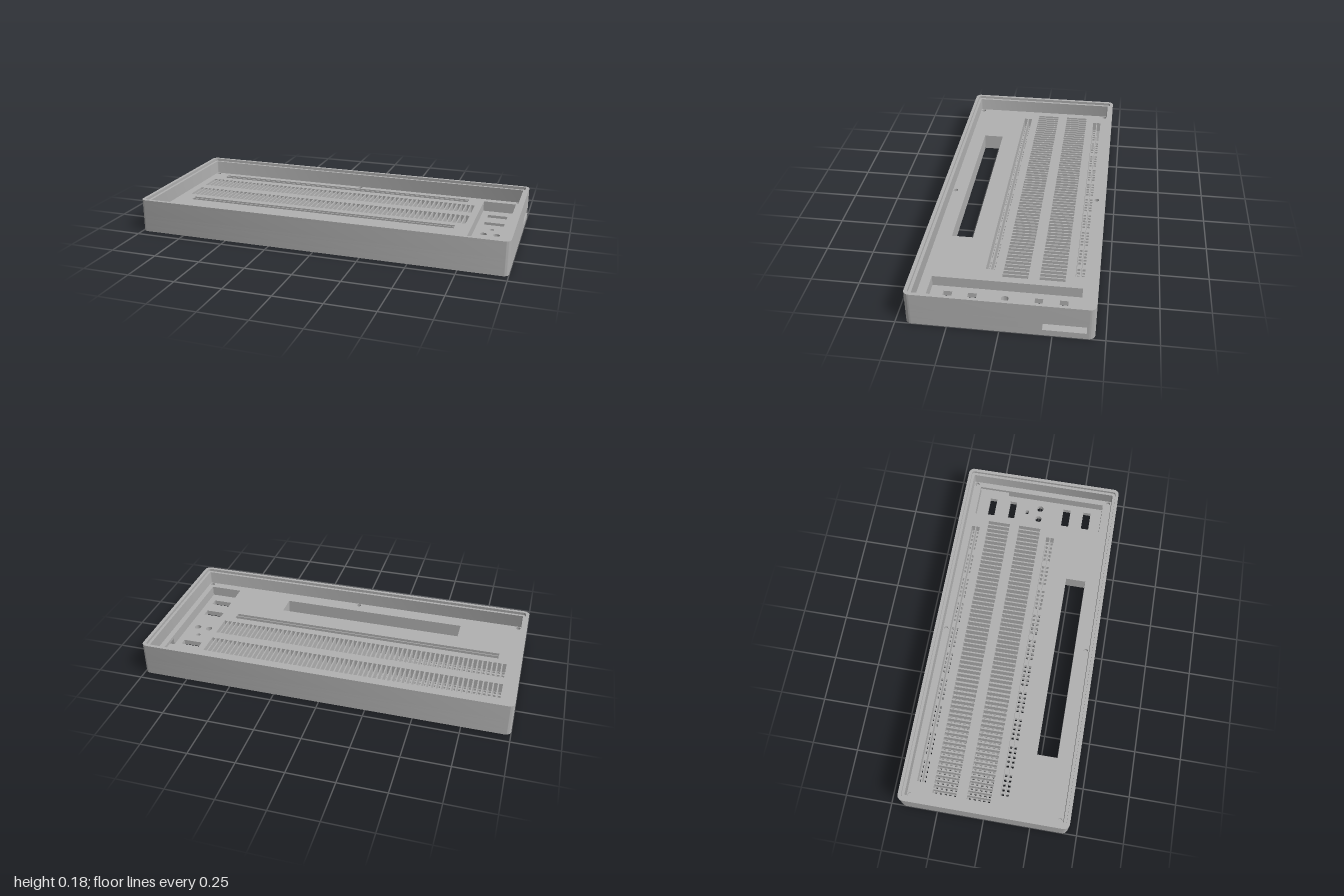
import * as THREE from 'three';
import { toCreasedNormals } from 'three/addons/utils/BufferGeometryUtils.js';

const PITCH = 0.0261;
const FLOOR = 0.033, SLOT_TOP = 0.072, DECK = 0.09, LEDGE = 0.165, TOP = 0.18;

// All outlines use (x, z); shapes are drawn with z flipped so they can be tipped upright.
function rect(x0, x1, z0, z1, C = THREE.Path) {
  const p = new C();
  p.moveTo(x0, -z1).lineTo(x1, -z1).lineTo(x1, -z0).lineTo(x0, -z0).closePath();
  return p;
}

function circle(x, z, r) {
  return new THREE.Path().absarc(x, -z, r, 0, Math.PI * 2, true);
}

// Rounded outline; notch is an optional list of [x, z] points let into the +x side.
function rounded(w, d, r, C = THREE.Shape, notch = []) {
  const p = new C();
  p.absarc(w - r, -(d - r), r, -Math.PI / 2, 0, false);
  [...notch].reverse().forEach(([x, z]) => p.lineTo(x, -z));
  p.absarc(w - r, d - r, r, 0, Math.PI / 2, false);
  p.absarc(-w + r, d - r, r, Math.PI / 2, Math.PI, false);
  p.absarc(-w + r, -(d - r), r, Math.PI, Math.PI * 1.5, false);
  p.closePath();
  return p;
}

export function createModel() {
  const group = new THREE.Group();
  const grey = new THREE.MeshStandardMaterial({ color: 0xb0b0b0 });
  grey.name = 'grey plastic';

  function layer(name, shape, holes, y0, y1) {
    shape.holes.push(...holes);
    let geo = new THREE.ExtrudeGeometry(shape, { depth: y1 - y0, bevelEnabled: false, curveSegments: 8 });
    geo.rotateX(-Math.PI / 2).translate(0, y0, 0);
    geo = toCreasedNormals(geo, 0.6);
    const mesh = new THREE.Mesh(geo, grey);
    mesh.name = name;
    group.add(mesh);
  }

  const outer = (notch) => rounded(1, 0.45, 0.03, THREE.Shape, notch);

  // Pin holes and the contact grooves above them
  const pins = () => {
    const list = [];
    const h = 0.007;
    const pin = (x, z) => list.push(rect(x - h, x + h, z - h, z + h));
    for (const zc of [-0.222, -0.038])
      for (let c = 0; c < 63; c++)
        for (let r = -2; r <= 2; r++) pin(-0.103 + (c - 31) * PITCH, zc + r * PITCH);
    for (const zc of [-0.355, 0.092])
      for (let c = 0; c < 59; c++)
        if (c % 6 !== 5)
          for (const s of [-0.5, 0.5]) pin(-0.103 + (c - 29) * PITCH, zc + s * PITCH);
    return list;
  };
  const grooves = () => {
    const list = [];
    for (const zc of [-0.222, -0.038])
      for (let c = 0; c < 63; c++) {
        const x = -0.103 + (c - 31) * PITCH;
        list.push(rect(x - 0.0095, x + 0.0095, zc - 0.064, zc + 0.064));
      }
    for (const zc of [-0.355, 0.092])
      for (const s of [-0.5, 0.5]) {
        const z = zc + s * PITCH;
        list.push(rect(-0.873, 0.667, z - 0.0105, z + 0.0105));
      }
    return list;
  };
  const display = () => rect(-0.625, 0.422, 0.225, 0.337);

  // Connector and button openings in the side pocket
  const ports = () => [
    ...[[-0.31, -0.268], [-0.186, -0.146], [0.14, 0.184], [0.262, 0.306]]
      .map(([a, b]) => rect(0.79, 0.9, a, b)),
    circle(0.845, -0.075, 0.012), circle(0.81, 0, 0.019), circle(0.88, 0, 0.019),
  ];

  // Side pocket, and the same pocket opened through the +x side by a slot
  const px0 = 0.754, px1 = 0.936, pz0 = -0.375, pz1 = 0.37;
  const pocket = () => rect(px0, px1, pz0, pz1);
  const slot = [[1, -0.41], [px1, -0.41], [px1, pz0], [px0, pz0], [px0, pz1], [px1, pz1], [px1, -0.203], [1, -0.203]];

  const screws = [];
  for (const x of [-0.95, 0, 0.95]) for (const z of [-0.4, 0.4]) screws.push(circle(x, z, 0.013));

  layer('undersideSkin', outer(), [...pins(), display(), pocket()], 0, 0.005);
  layer('base', outer(), [...pins(), display(), ...ports()], 0.005, FLOOR);
  layer('slottedBody', outer(slot), [...grooves(), display()], FLOOR, SLOT_TOP);
  layer('deck', outer(), [...grooves(), display(), pocket(), ...screws], SLOT_TOP, DECK);
  layer('wall', outer(), [rounded(0.967, 0.417, 0.006, THREE.Path)], DECK, LEDGE);
  layer('rim', outer(), [rounded(0.982, 0.432, 0.015, THREE.Path)], LEDGE, TOP);
  return group;
}
